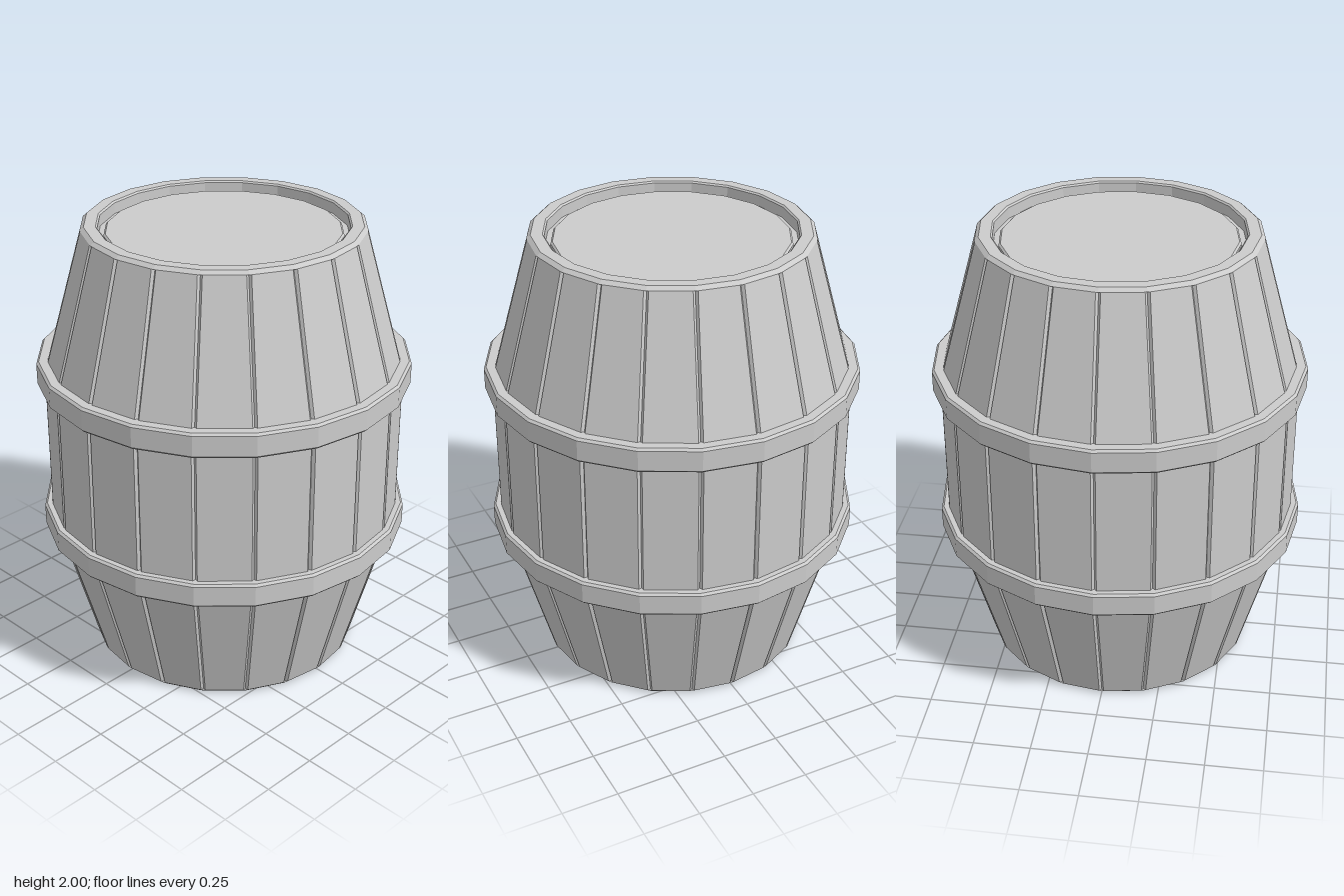
import * as THREE from 'three';

const SIDES = 20;
const STEP = (Math.PI * 2) / SIDES;
const material = new THREE.MeshStandardMaterial({ color: 0xcccccc, flatShading: true });

// Faceted ring or disc from [radius, y] pairs, ordered so its outside faces out
function lathe(name, profile) {
  const points = profile.map(([r, y]) => new THREE.Vector2(r, y));
  const mesh = new THREE.Mesh(new THREE.LatheGeometry(points, SIDES), material);
  mesh.name = name;
  return mesh;
}

// Twenty staves: a 20-sided shell with a V groove running up every corner
function staves() {
  // [radius, y, groove depth]
  const rings = [
    [0.607, 0.015, 0], [0.607, 0.015, 0.014],
    [0.785, 0.65, 0.014], [0.785, 1.35, 0.014],
    [0.607, 1.985, 0.014], [0.607, 1.985, 0],
  ];
  const halfGroove = 0.01;
  const positions = [];
  for (const [r, y, depth] of rings) {
    for (let i = 0; i < SIDES; i++) {
      const corner = (k) => new THREE.Vector3(Math.sin(k * STEP) * r, y, Math.cos(k * STEP) * r);
      const a = corner(i), b = corner(i + 1);
      const t = halfGroove / a.distanceTo(b);
      const groove = a.clone().setY(0).multiplyScalar((r - depth) / r).setY(y);
      for (const p of [groove, a.clone().lerp(b, t), b.clone().lerp(a, t)]) positions.push(p.x, p.y, p.z);
    }
  }
  const n = SIDES * 3;
  const index = [];
  for (let j = 0; j < rings.length - 1; j++) {
    for (let i = 0; i < n; i++) {
      const a = j * n + i, b = j * n + ((i + 1) % n);
      index.push(a, b, b + n, a, b + n, a + n);
    }
  }
  const geometry = new THREE.BufferGeometry();
  geometry.setAttribute('position', new THREE.Float32BufferAttribute(positions, 3));
  geometry.setIndex(index);
  geometry.computeVertexNormals();
  const mesh = new THREE.Mesh(geometry, material);
  mesh.name = 'staves';
  return mesh;
}

export function createModel() {
  const barrel = new THREE.Group();
  barrel.name = 'barrel';
  barrel.add(staves());

  // Bevelled rims at both ends
  barrel.add(lathe('topRim', [[0.607, 1.985], [0.59, 2], [0.54, 2], [0.533, 1.993], [0.533, 1.94]]));
  barrel.add(lathe('bottomRim', [[0.545, 0.03], [0.545, 0], [0.59, 0], [0.607, 0.015]]));

  // Recessed lid with a narrow channel around it, and the base
  barrel.add(lathe('lid', [[0.54, 1.945], [0.508, 1.945], [0.508, 1.957], [0.5, 1.965], [0, 1.965]]));
  barrel.add(lathe('base', [[0, 0.01], [0.55, 0.01]]));

  // Two hoops, covering the bends in the staves
  for (const [name, y] of [['lowerHoop', 0.65], ['upperHoop', 1.35]]) {
    const hoop = lathe(name, [
      [0.76, -0.055], [0.808, -0.055], [0.818, -0.045],
      [0.818, 0.045], [0.808, 0.055], [0.76, 0.055],
    ]);
    hoop.position.y = y;
    barrel.add(hoop);
  }
  return barrel;
}
